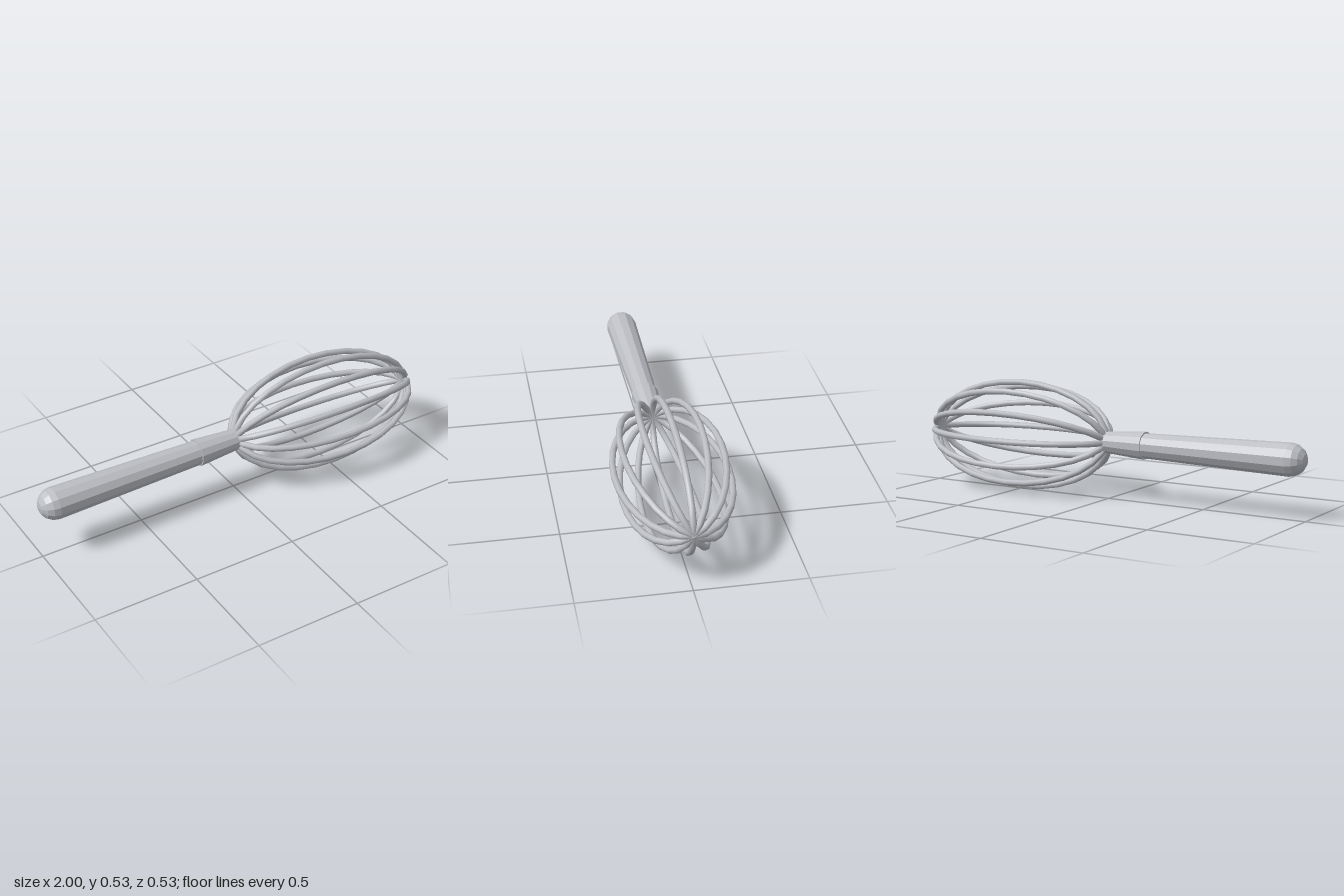
import * as THREE from 'three';
import { ParametricGeometry } from 'three/addons/geometries/ParametricGeometry.js';

const AXIS_Y = 0.267;
const WIRE = 0.015;

// Faceted twelve-sided turning along x from [x, radius] pairs, flats facing up and to the front
function turned(name, profile, material) {
  const points = profile.map(([x, r]) => new THREE.Vector2(r, x));
  const geometry = new THREE.LatheGeometry(points, 12, Math.PI / 12).toNonIndexed();
  geometry.computeVertexNormals();
  geometry.rotateZ(-Math.PI / 2);
  const mesh = new THREE.Mesh(geometry, material);
  mesh.name = name;
  return mesh;
}

// Closed elliptical wire with an octagonal section, lying in the xy plane
function wireLoop() {
  const cx = 0.496, a = 0.49, b = 0.252;
  return new ParametricGeometry((u, v, target) => {
    const t = u * Math.PI * 2;
    const s = v * Math.PI * 2 + Math.PI / 8;
    const normal = new THREE.Vector2(b * Math.cos(t), a * Math.sin(t)).normalize();
    const out = WIRE * Math.cos(s);
    target.set(
      cx + a * Math.cos(t) + normal.x * out,
      b * Math.sin(t) + normal.y * out,
      WIRE * Math.sin(s)
    );
  }, 28, 8);
}

export function createModel() {
  const steel = new THREE.MeshStandardMaterial({ color: 0xbcbec4 });
  steel.name = 'brushed steel';

  const whisk = new THREE.Group();
  whisk.name = 'whisk';
  const body = new THREE.Group();
  body.name = 'whiskBody';
  body.position.y = AXIS_Y;
  whisk.add(body);

  // Tapered grip with a domed end
  const R = 0.075;
  const grip = [];
  for (let i = 0; i <= 4; i++) {
    const q = (i / 4) * Math.PI / 2;
    grip.push([-1 + R * (1 - Math.cos(q)), R * Math.sin(q)]);
  }
  grip.push([-0.19, 0.058]);
  body.add(turned('handle', grip, steel));

  // Collar stepping out over the grip and holding the wires
  body.add(turned('collar', [[-0.2, 0], [-0.2, 0.065], [0.01, 0.05], [0.01, 0]], steel));

  // Six loops turned about the axis make twelve evenly spaced wires
  const cage = new THREE.Group();
  cage.name = 'wireCage';
  const loop = wireLoop();
  for (let i = 0; i < 6; i++) {
    const mesh = new THREE.Mesh(loop, steel);
    mesh.name = 'wireLoop' + (i + 1);
    mesh.rotation.x = (i * Math.PI) / 6;
    cage.add(mesh);
  }
  body.add(cage);

  return whisk;
}
